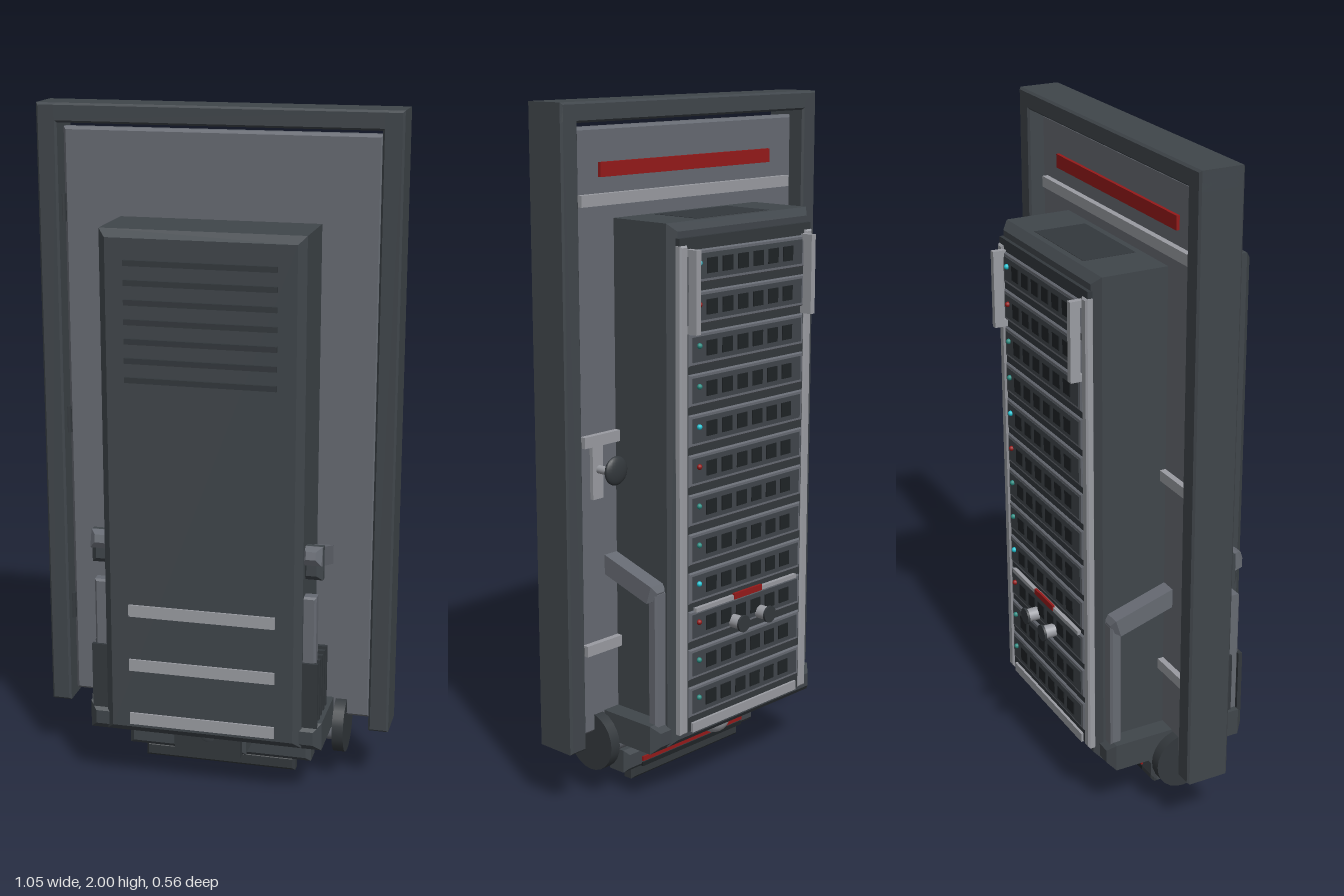
import * as THREE from 'three';

export function createModel() {
  const root = new THREE.Group();
  const mat = (name, hex) => {
    const m = new THREE.MeshStandardMaterial({ color: hex });
    m.name = name;
    return m;
  };
  const casing = mat('dark slate casing', 0x40464b);
  const panel = mat('mid grey panel', 0x666a72);
  const trim = mat('charcoal trim', 0x33383c);
  const black = mat('port black', 0x1f2326);
  const silver = mat('silver', 0x9a9ca2);
  const red = mat('red', 0x951a1a);
  const teal = mat('teal', 0x2a8a80);
  const cyan = mat('cyan', 0x22c4d4);

  const add = (name, geo, material, x, y, z, parent = root) => {
    const m = new THREE.Mesh(geo, material);
    m.name = name;
    m.position.set(x, y, z);
    parent.add(m);
    return m;
  };
  const box = (name, material, w, h, d, x, y, z, parent) =>
    add(name, new THREE.BoxGeometry(w, h, d), material, x, y, z, parent);

  // Box with chamfered edges
  const chamferBox = (name, material, w, h, d, b, x, y, z, parent) => {
    const a = w / 2 - b, c = h / 2 - b;
    const s = new THREE.Shape([[-a, -c], [a, -c], [a, c], [-a, c]].map(p => new THREE.Vector2(...p)));
    const geo = new THREE.ExtrudeGeometry(s, {
      depth: d - 2 * b, bevelEnabled: true, bevelThickness: b, bevelSize: b, bevelSegments: 1,
    });
    geo.translate(0, 0, -(d - 2 * b) / 2);
    return add(name, geo, material, x, y, z, parent);
  };
  const rod = (name, material, r, len, axis, x, y, z, parent) => {
    const geo = new THREE.CylinderGeometry(r, r, len, 24);
    if (axis === 'x') geo.rotateZ(Math.PI / 2);
    if (axis === 'z') geo.rotateX(Math.PI / 2);
    return add(name, geo, material, x, y, z, parent);
  };

  // Door frame and door panel
  const door = new THREE.Group();
  door.name = 'door';
  root.add(door);
  for (const s of [-1, 1])
    chamferBox('frameJamb', casing, 0.06, 1.82, 0.133, 0.006, s * 0.493, 1.09, 0.022, door);
  chamferBox('frameHeader', casing, 1.046, 0.055, 0.133, 0.006, 0, 1.9725, 0.022, door);
  chamferBox('doorPanel', panel, 0.92, 1.73, 0.04, 0.008, 0, 1.065, 0.02, door);
  box('doorSign', red, 0.7, 0.04, 0.012, 0, 1.815, -0.004, door);
  for (const y of [1.735, 1.07, 0.46])
    box('doorCrossBar', silver, 0.86, 0.032, 0.02, 0, y, -0.008, door);
  for (const y of [1.7, 1.07, 0.48])
    rod('hinge', trim, 0.01, 0.08, 'y', -0.463, y, 0.045, door);

  // Door handle on the back
  box('handlePlate', silver, 0.04, 0.18, 0.012, 0.375, 0.99, -0.006, door);
  rod('handleStem', silver, 0.012, 0.05, 'z', 0.37, 0.985, -0.03, door);
  const knob = add('handleKnob', new THREE.SphereGeometry(0.042, 20, 14), trim, 0.35, 0.985, -0.058, door);
  knob.scale.z = 0.35;

  // Main cabinet
  chamferBox('cabinet', casing, 0.586, 1.5, 0.49, 0.022, 0, 0.93, 0.024);
  box('cabinetTopVent', trim, 0.3, 0.006, 0.16, 0, 1.678, -0.1);
  for (let i = 0; i < 7; i++)
    box('frontVentSlat', trim, 0.434, 0.016, 0.02, 0, 1.26 + i * 0.055, 0.268);
  for (const y of [0.23, 0.4, 0.57])
    box('frontStripe', silver, 0.434, 0.036, 0.009, 0, y, 0.27);

  // Skirt, side arms and pillars
  chamferBox('skirt', casing, 0.7, 0.085, 0.46, 0.022, 0, 0.214, 0.023);
  for (const s of [-1, 1]) {
    const side = new THREE.Group();
    side.name = s > 0 ? 'leftSide' : 'rightSide';
    root.add(side);
    const arm = chamferBox('sideArm', panel, 0.06, 0.055, 0.45, 0.016, s * 0.312, 0.705, 0.025, side);
    arm.rotation.x = -0.3;
    chamferBox('armFrontEnd', casing, 0.062, 0.1, 0.05, 0.016, s * 0.312, 0.74, 0.2, side);
    chamferBox('frontPillar', panel, 0.05, 0.4, 0.04, 0.006, s * 0.305, 0.445, 0.218, side);
    chamferBox('rearPillar', panel, 0.05, 0.41, 0.035, 0.006, s * 0.305, 0.445, -0.175, side);
    for (let i = 0; i < 5; i++)
      box('sideVentFin', trim, 0.055, 0.2, 0.013, s * 0.311, 0.345, 0.12 + i * 0.035 - 0.02, side);
  }

  // Server rack on the back
  const rack = new THREE.Group();
  rack.name = 'serverRack';
  root.add(rack);
  box('rackBacking', trim, 0.55, 1.42, 0.02, 0, 0.93, -0.222, rack);
  for (const s of [-1, 1]) {
    chamferBox('rackRail', silver, 0.03, 1.4, 0.025, 0.005, s * 0.262, 0.92, -0.226, rack);
    for (const y of [1.39, 1.6])
      box('rackHandleFoot', silver, 0.018, 0.02, 0.04, s * 0.242, y, -0.245, rack);
    box('rackHandle', silver, 0.018, 0.23, 0.03, s * 0.242, 1.495, -0.257, rack);
  }
  const ledColours = [teal, cyan, red, teal];
  for (let i = 0; i < 12; i++) {
    const y = 0.31 + i * 0.1136;
    chamferBox('serverUnit', panel, 0.485, 0.092, 0.02, 0.004, 0, y, -0.228, rack);
    box('unitFace', casing, 0.46, 0.07, 0.004, 0, y, -0.238, rack);
    for (let p = 0; p < 6; p++)
      box('port', black, 0.042, 0.042, 0.006, 0.155 - p * 0.064, y, -0.24, rack);
    add('statusLight', new THREE.SphereGeometry(0.008, 10, 8), ledColours[(i * 3) % 4], 0.207, y + 0.01, -0.243, rack);
  }
  box('lowerGrille', silver, 0.46, 0.028, 0.012, 0, 0.232, -0.234, rack);
  box('consoleStrip', silver, 0.44, 0.012, 0.012, 0, 0.585, -0.238, rack);
  box('consoleDisplay', red, 0.12, 0.018, 0.008, 0, 0.588, -0.242, rack);
  for (const s of [-1, 1]) {
    rod('consoleKnob', silver, 0.02, 0.04, 'z', s * 0.057, 0.513, -0.258, rack);
    rod('consoleKnobCap', trim, 0.025, 0.007, 'z', s * 0.057, 0.513, -0.279, rack);
  }

  // Undercarriage
  const base = new THREE.Group();
  base.name = 'undercarriage';
  root.add(base);
  rod('axle', panel, 0.032, 0.74, 'x', 0, 0.142, 0.018, base);
  for (const s of [-1, 1]) {
    rod('wheel', trim, 0.088, 0.034, 'x', s * 0.374, 0.168, 0.018, base);
    box('axleLight', cyan, 0.06, 0.014, 0.02, s * 0.13, 0.165, -0.045, base);
    box('axleLightDrop', cyan, 0.012, 0.045, 0.02, s * 0.16, 0.145, -0.045, base);
  }
  chamferBox('gearHousing', casing, 0.22, 0.08, 0.24, 0.012, 0, 0.14, 0.06, base);
  box('frontBumper', trim, 0.2, 0.07, 0.025, 0, 0.135, 0.187, base);
  add('frontDome', new THREE.SphereGeometry(0.065, 24, 16), casing, 0, 0.168, 0.14, base);
  add('rearLens', new THREE.SphereGeometry(0.05, 24, 16), silver, 0, 0.165, -0.11, base);
  chamferBox('upperFoot', casing, 0.57, 0.07, 0.085, 0.014, 0, 0.076, 0.018, base);
  chamferBox('lowerFoot', trim, 0.47, 0.045, 0.045, 0.008, 0, 0.0225, 0.022, base);
  box('footStripe', red, 0.44, 0.014, 0.008, 0, 0.07, -0.026, base);
  box('footGrille', black, 0.44, 0.012, 0.008, 0, 0.052, -0.024, base);

  return root;
}
